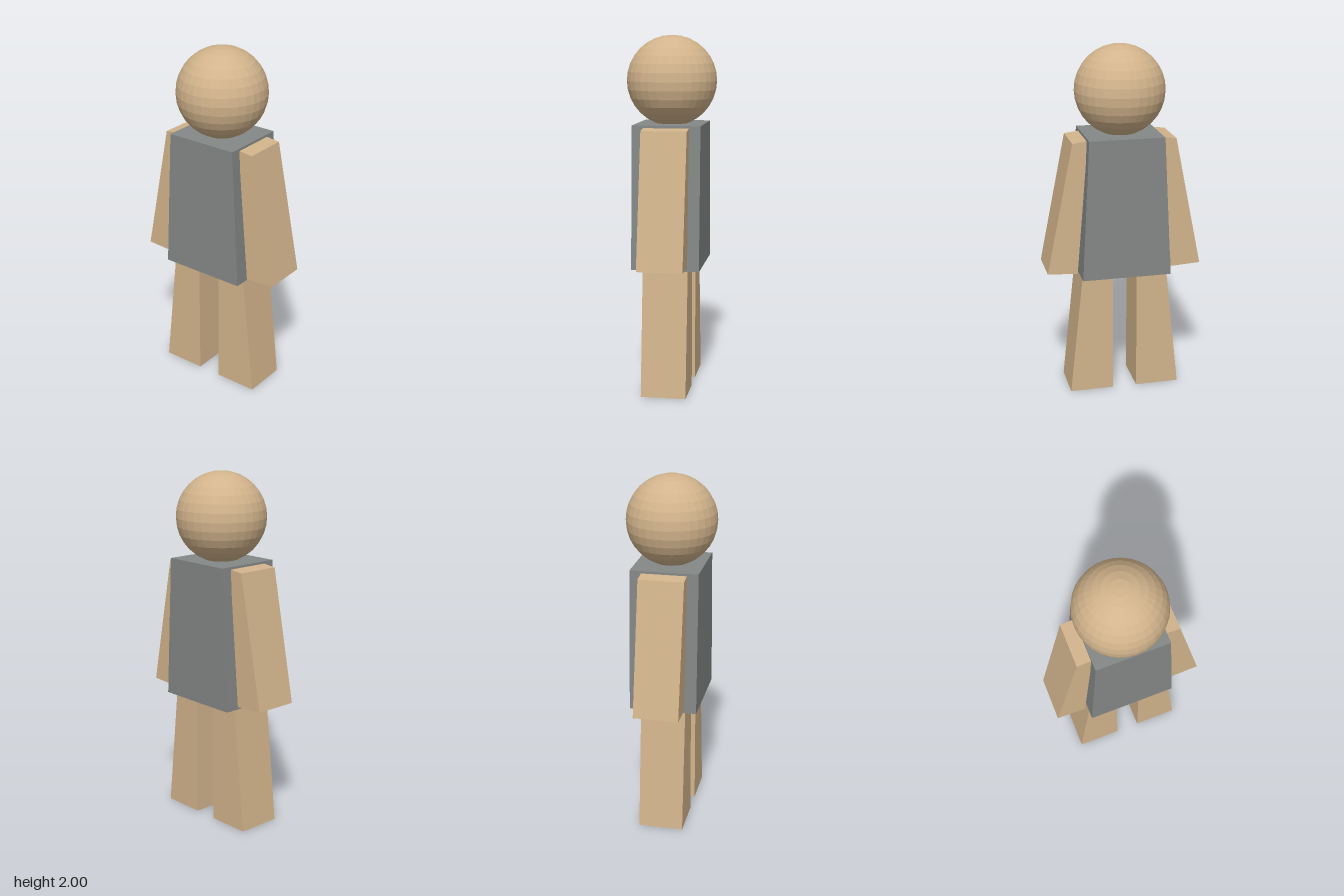
import * as THREE from 'three';

const tan = new THREE.MeshStandardMaterial({ color: 0xd2b48c, flatShading: true });
const grey = new THREE.MeshStandardMaterial({ color: 0x848886, flatShading: true });

// Extrude a front outline evenly about z = 0; side = -1 mirrors it in x
function slab(name, outline, depth, material, side = 1) {
  const shape = new THREE.Shape(outline.map(([x, y]) => new THREE.Vector2(x * side, y)));
  const geometry = new THREE.ExtrudeGeometry(shape, { depth, bevelEnabled: false });
  geometry.translate(0, 0, -depth / 2);
  const mesh = new THREE.Mesh(geometry, material);
  mesh.name = name;
  return mesh;
}

export function createModel() {
  const figure = new THREE.Group();
  figure.name = 'figure';

  // Head
  const head = new THREE.Mesh(new THREE.SphereGeometry(0.253, 32, 16), tan);
  head.name = 'head';
  head.position.y = 1.747;
  figure.add(head);

  // Torso, wider at the hem
  figure.add(slab('torso', [[-0.253, 0.71], [0.253, 0.71], [0.212, 1.51], [-0.212, 1.51]], 0.38, grey));

  // Tapered arms and legs, mirrored
  const arm = [[0.272, 0.733], [0.442, 0.742], [0.293, 1.487], [0.208, 1.497]];
  const leg = [[0.07, 0], [0.32, 0], [0.243, 0.72], [0.07, 0.72]];
  for (const [label, side] of [['left', 1], ['right', -1]]) {
    figure.add(slab(label + 'Arm', arm, 0.253, tan, side));
    figure.add(slab(label + 'Leg', leg, 0.253, tan, side));
  }
  return figure;
}
